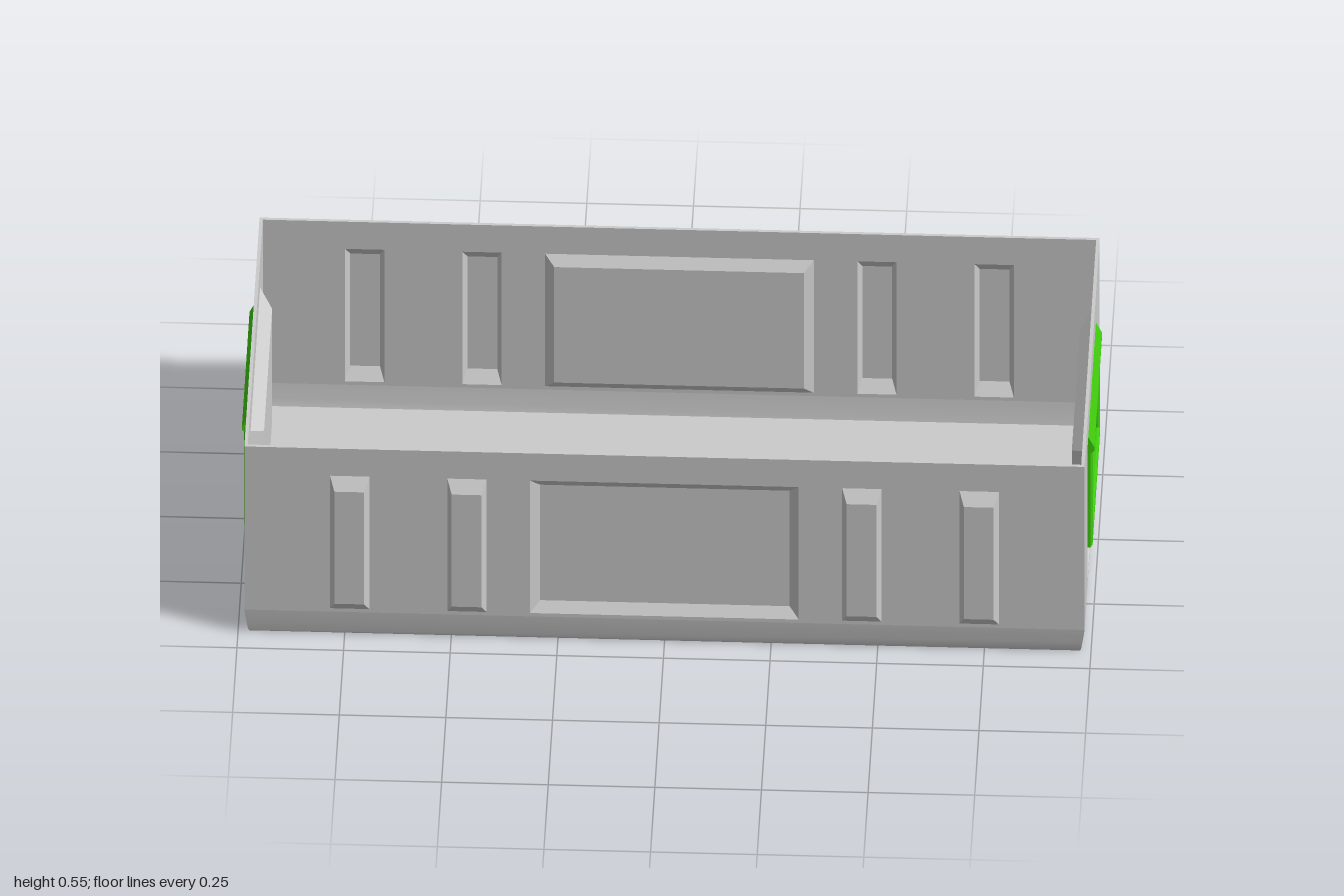
import * as THREE from 'three';

const HX = 0.985, HZ = 0.443, TOP = 0.55, SEAM = 0.07, T = 0.008;
const grey = new THREE.MeshStandardMaterial({ color: 0xcccccc, side: THREE.DoubleSide });
const green = new THREE.MeshStandardMaterial({ color: 0x3fcc0c });

function add(parent, name, geometry, material = grey) {
  const mesh = new THREE.Mesh(geometry, material);
  mesh.name = name;
  parent.add(mesh);
  return mesh;
}

function rect(PathType, u0, u1, y0, y1) {
  const p = new PathType();
  p.moveTo(u0, y0).lineTo(u1, y0).lineTo(u1, y1).lineTo(u0, y1).closePath();
  return p;
}

// Pressed pocket or rib: four sloped sides and a flat face (depth > 0 is outward)
function pressing({ u0, u1, y0, y1, iu, iy, depth }) {
  const ring = (a, b, z) => [
    [u0 + a, y0 + b, z], [u1 - a, y0 + b, z], [u1 - a, y1 - b, z], [u0 + a, y1 - b, z]];
  const base = ring(0, 0, 0), face = ring(iu, iy, depth);
  const pos = [];
  const quad = (a, b, c, d) => pos.push(...a, ...b, ...c, ...a, ...c, ...d);
  quad(...face);
  for (let i = 0; i < 4; i++) {
    const j = (i + 1) % 4;
    quad(base[i], base[j], face[j], face[i]);
  }
  const g = new THREE.BufferGeometry();
  g.setAttribute('position', new THREE.Float32BufferAttribute(pos, 3));
  g.computeVertexNormals();
  return g;
}

// Lower edge of a wall, curving in towards the base
function skirt(half) {
  const profile = [[0, 0.012], [0.006, 0.0085], [0.03, 0.005], [0.05, 0.002], [SEAM, 0]];
  const g = new THREE.PlaneGeometry(2 * half, 1, 1, profile.length - 1);
  const p = g.attributes.position;
  for (let i = 0; i < p.count; i++) {
    const [y, inset] = profile[profile.length - 1 - Math.floor(i / 2)];
    p.setXYZ(i, Math.sign(p.getX(i)) * (half - inset), y, -inset);
  }
  g.computeVertexNormals();
  return g;
}

// One wall facing +z: an outer and an inner skin, both following the pressings
function makeWall(name, half, pressings) {
  const wall = new THREE.Group();
  wall.name = name;
  for (const [label, back] of [['outer', 0], ['inner', T]]) {
    const skin = new THREE.Group();
    skin.name = label + 'Skin';
    skin.position.z = -back;
    wall.add(skin);
    const h = half - back;
    const shape = rect(THREE.Shape, -h, h, SEAM, TOP);
    for (const p of pressings) {
      shape.holes.push(rect(THREE.Path, p.u0, p.u1, p.y0, p.y1));
      add(skin, p.name, pressing(p));
    }
    add(skin, 'wallSheet', new THREE.ShapeGeometry(shape));
    add(skin, 'wallSkirt', skirt(h));
  }
  // Rim closing the two skins
  const rim = add(wall, 'rim', new THREE.PlaneGeometry(2 * half, T));
  rim.rotation.x = -Math.PI / 2;
  rim.position.set(0, TOP, -T / 2);
  return wall;
}

// Bevelled grip frame with a hinge wedge under the top of the pocket
function makeHandle() {
  const handle = new THREE.Group();
  handle.name = 'handle';
  const frame = rect(THREE.Shape, -0.222, 0.222, 0.145, 0.44);
  frame.holes.push(rect(THREE.Path, -0.203, 0.203, 0.175, 0.42));
  const b = 0.005;
  const grip = add(handle, 'handleFrame', new THREE.ExtrudeGeometry(frame, {
    depth: 0.025, bevelThickness: b, bevelSize: b, bevelOffset: -b, bevelSegments: 1,
  }), green);
  grip.position.z = -0.02 + b - 0.005;
  grip.scale.z = 1;
  const wedge = new THREE.Shape();
  [[-0.03, 0.42], [0.004, 0.42], [0.0145, 0.43], [0.0145, 0.44], [0, 0.47], [-0.03, 0.44]]
    .forEach(([z, y], i) => (i ? wedge.lineTo(z, y) : wedge.moveTo(z, y)));
  const hinge = add(handle, 'handleHinge',
    new THREE.ExtrudeGeometry(wedge, { depth: 0.444, bevelEnabled: false }), green);
  hinge.rotation.y = -Math.PI / 2;
  hinge.position.x = 0.222;
  return handle;
}

export function createModel() {
  const model = new THREE.Group();
  model.name = 'crate';

  // Long walls: a sunken panel between two pairs of raised ribs
  const longPressings = [
    { name: 'sunkenPanel', u0: -0.315, u1: 0.315, y0: 0.08, y1: 0.47, iu: 0.022, iy: 0.025, depth: -0.018 }];
  for (const u of [-0.738, -0.463, 0.463, 0.738]) {
    longPressings.push({
      name: 'rib', u0: u - 0.046, u1: u + 0.046, y0: 0.08, y1: 0.47, iu: 0.011, iy: 0.03, depth: 0.022 });
  }
  const endPressings = [
    { name: 'handlePocket', u0: -0.278, u1: 0.278, y0: 0.08, y1: 0.47, iu: 0.042, iy: 0.03, depth: -0.03 }];

  for (const side of [1, -1]) {
    const long = makeWall(side > 0 ? 'frontWall' : 'backWall', HX, longPressings);
    long.rotation.y = side > 0 ? 0 : Math.PI;
    long.position.z = side * HZ;
    model.add(long);

    const end = makeWall(side > 0 ? 'leftWall' : 'rightWall', HZ, endPressings);
    end.add(makeHandle());
    end.rotation.y = side * Math.PI / 2;
    end.position.x = side * HX;
    model.add(end);
  }

  // Floor plate
  const floor = add(model, 'floor', new THREE.BoxGeometry(2 * HX - 0.024, T, 2 * HZ - 0.024));
  floor.position.y = T / 2;
  return model;
}
